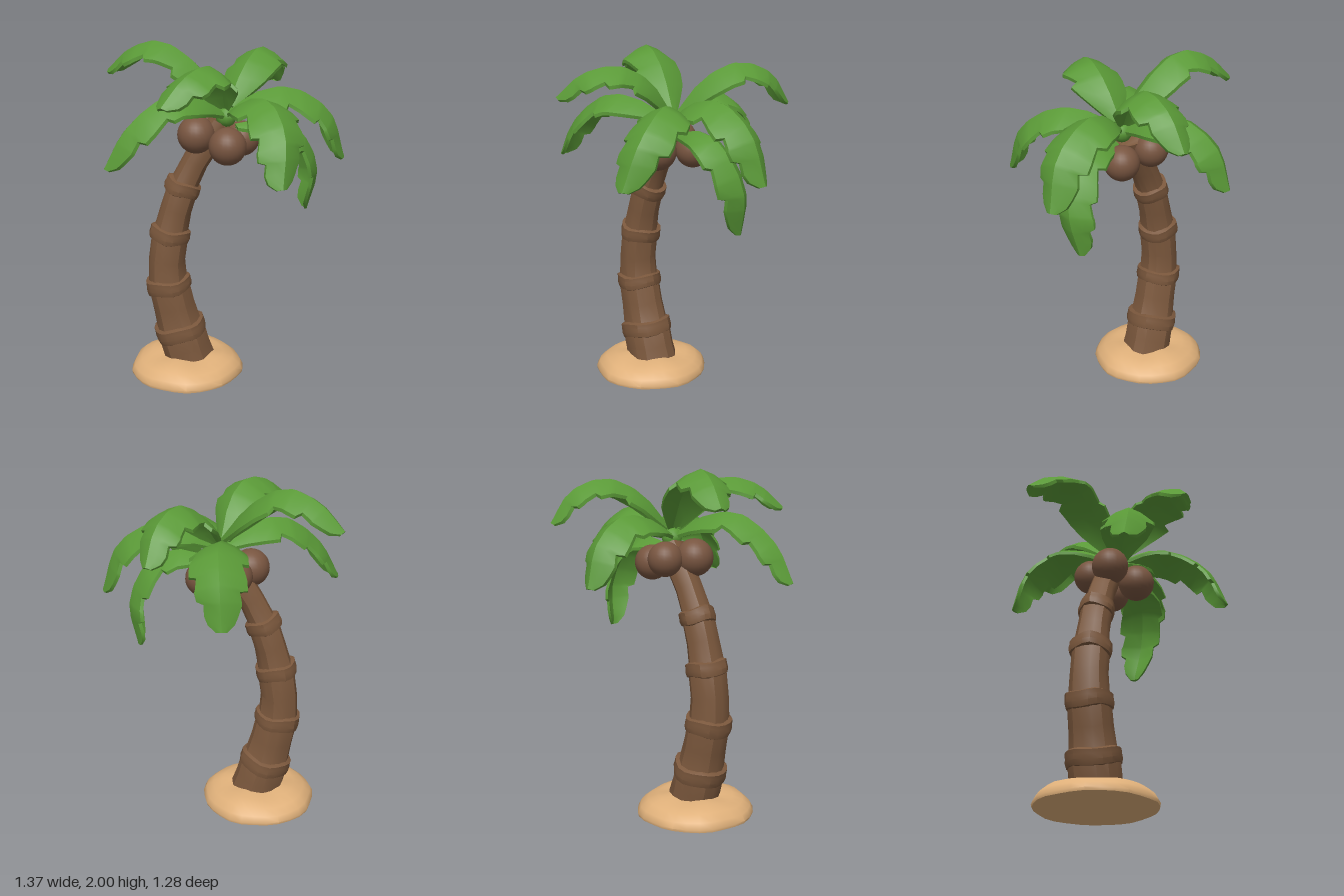
import * as THREE from 'three';
import { toCreasedNormals } from 'three/addons/utils/BufferGeometryUtils.js';

const mat = (name, color) => Object.assign(new THREE.MeshStandardMaterial({ color }), { name });
const V = (x, y, z) => new THREE.Vector3(x, y, z);

// Skin a list of closed cross-sections, with end caps
function loft(rings, crease) {
  const n = rings[0].length, pos = [], idx = [];
  rings.forEach(r => r.forEach(p => pos.push(p.x, p.y, p.z)));
  for (let i = 0; i < rings.length - 1; i++) {
    for (let j = 0; j < n; j++) {
      const k = (j + 1) % n, a = i * n + j, b = i * n + k, c = b + n, d = a + n;
      idx.push(a, b, d, b, c, d);
    }
  }
  const e = (rings.length - 1) * n;
  for (let j = 1; j < n - 1; j++) idx.push(0, j + 1, j, e, e + j, e + j + 1);
  const g = new THREE.BufferGeometry();
  g.setAttribute('position', new THREE.Float32BufferAttribute(pos, 3));
  g.setIndex(idx);
  return toCreasedNormals(g, crease);
}

// Trunk centre line, evenly spaced in height
const trunkLine = new THREE.CatmullRomCurve3([
  V(-0.22, 0.05, 0), V(-0.30, 0.35, 0), V(-0.355, 0.65, 0),
  V(-0.315, 0.95, 0), V(-0.215, 1.25, 0), V(-0.03, 1.55, 0)], false, 'catmullrom');

// Lumpy round section of the trunk; stations are [height, radius]
function trunkPart(stations, sides, lump, phase) {
  return loft(stations.map(([y, r]) => {
    const t = (y - 0.05) / 1.5, c = trunkLine.getPoint(t), d = trunkLine.getTangent(t);
    const ring = [];
    for (let j = 0; j < sides; j++) {
      const a = j / sides * Math.PI * 2;
      const q = r * (1 + lump * Math.sin(a * 5 + phase));
      const lift = lump * 0.25 * Math.sin(a * 3 + phase);
      ring.push(c.clone().add(V(d.y * Math.cos(a) * q, -d.x * Math.cos(a) * q + lift, -Math.sin(a) * q)));
    }
    return ring;
  }), 0.5);
}

// Frond outline: [distance along, half width left, half width right]
const OUTLINE = [
  [0, 0.04, 0.04], [0.1, 0.095, 0.1], [0.2, 0.14, 0.145], [0.32, 0.16, 0.168],
  [0.36, 0.162, 0.125], [0.46, 0.168, 0.15], [0.5, 0.13, 0.158], [0.6, 0.148, 0.162],
  [0.63, 0.152, 0.122], [0.72, 0.152, 0.132], [0.745, 0.108, 0.137], [0.82, 0.115, 0.128],
  [0.84, 0.116, 0.09], [0.91, 0.094, 0.09], [0.96, 0.072, 0.072], [1, 0.03, 0.03]];

// Arched, folded frond with notched edges
function frond(points, width, flip) {
  const curve = new THREE.CatmullRomCurve3(points.map(p => V(...p)));
  const dir = curve.getPoint(1).sub(curve.getPoint(0)).setY(0).normalize();
  const side = V(0, 1, 0).cross(dir);
  const rings = OUTLINE.map(([t, wl, wr]) => {
    const p = curve.getPointAt(t), tan = curve.getTangentAt(t);
    const nor = tan.clone().cross(side).normalize();
    const at = (u, drop) => {
      const w = (u > 0 === flip ? wl : wr) * width, a = Math.abs(u);
      return p.clone().addScaledVector(side, u * w)
        .addScaledVector(nor, -w * 0.55 * Math.pow(a, 1.45) - drop)
        .addScaledVector(tan, a * a * w * 0.2 * (1 - t));
    };
    const us = [1, 0.5, 0, -0.5, -1];
    return [...us.map(u => at(u, 0)), ...us.map(u => at(-u, t > 0.97 ? 0.012 : 0.02))];
  });
  return loft(rings, 0.6);
}

export function createModel() {
  const root = new THREE.Group();
  const leafGreen = mat('leaf green', 0x5a9937);
  const barkBrown = mat('bark brown', 0x7a573c);
  const nutBrown = mat('coconut brown', 0x785540);
  const sandTan = mat('sand', 0xdfb07a);
  const add = (geo, material, name, parent = root) => {
    const m = new THREE.Mesh(geo, material);
    m.name = name;
    parent.add(m);
    return m;
  };

  // Sand mound with an uneven surface
  const sand = new THREE.LatheGeometry(
    [[0, 0], [0.336, 0], [0.34, 0.016], [0.322, 0.05], [0.28, 0.085], [0.22, 0.106], [0.14, 0.113], [0, 0.113]]
      .map(p => new THREE.Vector2(...p)), 28);
  const sp = sand.attributes.position;
  for (let i = 0; i < sp.count; i++) {
    const x = sp.getX(i), y = sp.getY(i), z = sp.getZ(i), a = Math.atan2(z, x);
    const k = 1 + 0.012 * Math.sin(a * 5 + 1) + 0.01 * Math.sin(a * 9);
    sp.setXYZ(i, x * k, y * (1 + 0.06 * Math.sin(a * 4)), z * k);
  }
  add(toCreasedNormals(sand, 0.8), sandTan, 'sandMound').position.x = -0.24;

  // Trunk, each segment flaring a little under its ring
  const trunk = new THREE.Group();
  trunk.name = 'trunk';
  root.add(trunk);
  add(trunkPart([[0.05, 0.154], [0.15, 0.145], [0.27, 0.145], [0.31, 0.132], [0.42, 0.124], [0.56, 0.122],
    [0.6, 0.115], [0.72, 0.108], [0.88, 0.108], [0.92, 0.1], [1.03, 0.093], [1.16, 0.092],
    [1.2, 0.083], [1.32, 0.077], [1.44, 0.078], [1.55, 0.07]], 14, 0.025, 0.6), barkBrown, 'trunkCore', trunk);
  [[0.265, 0.156], [0.56, 0.136], [0.88, 0.122], [1.165, 0.106]].forEach(([y, r], i) => {
    const h = 0.048 - i * 0.002;
    add(trunkPart([[y - h, r - 0.025], [y - h * 0.8, r - 0.006], [y - h * 0.2, r], [y + h * 0.35, r - 0.003],
      [y + h * 0.8, r - 0.003], [y + h, r - 0.025]], 18, 0.025, i * 1.7), barkBrown, 'trunkRing', trunk);
  });

  // Coconuts clustered round the top of the trunk
  [[-0.17, 1.49, 0.05, 0.108], [-0.095, 1.485, -0.105, 0.1], [0.005, 1.445, 0.15, 0.107], [0.093, 1.445, -0.04, 0.102]]
    .forEach(([x, y, z, r]) => add(new THREE.SphereGeometry(r, 24, 16), nutBrown, 'coconut').position.set(x, y, z));

  // Crown of fronds: path from the heart to the tip, then width
  const crown = new THREE.Group();
  crown.name = 'crown';
  root.add(crown);
  add(new THREE.SphereGeometry(0.06, 12, 8), leafGreen, 'crownHeart', crown).position.set(0, 1.59, 0.03);
  [
    [[[-0.01, 1.62, 0.01], [-0.025, 1.71, -0.16], [-0.03, 1.735, -0.36], [-0.06, 1.6, -0.56], [-0.08, 1.37, -0.64]], 0.97],
    [[[0.01, 1.65, 0.02], [0.1, 1.84, -0.11], [0.2, 1.93, -0.29], [0.28, 1.86, -0.48], [0.315, 1.69, -0.595]], 0.9],
    [[[0.02, 1.63, 0.04], [0.17, 1.73, 0.03], [0.37, 1.75, 0.01], [0.59, 1.61, 0.01], [0.685, 1.34, -0.01]], 1],
    [[[0.05, 1.55, 0.04], [0.3, 1.58, 0.05], [0.45, 1.47, 0.03], [0.53, 1.26, -0.01], [0.48, 1.02, -0.04]], 0.82],
    [[[0.03, 1.63, 0.05], [0.13, 1.72, 0.17], [0.23, 1.73, 0.33], [0.295, 1.59, 0.53], [0.28, 1.34, 0.64]], 0.96],
    [[[0, 1.65, 0.04], [-0.035, 1.84, 0.17], [-0.11, 1.93, 0.33], [-0.23, 1.89, 0.49], [-0.345, 1.76, 0.59]], 0.95],
    [[[-0.01, 1.62, 0.05], [-0.16, 1.72, 0.14], [-0.34, 1.74, 0.23], [-0.55, 1.58, 0.31], [-0.67, 1.37, 0.33]], 0.93],
    [[[0, 1.66, 0.03], [-0.17, 1.88, -0.04], [-0.37, 1.995, -0.11], [-0.55, 1.94, -0.19], [-0.685, 1.81, -0.25]], 0.9],
  ].forEach(([path, width], i) => add(frond(path, width, i % 2 === 0), leafGreen, 'frond', crown));

  return root;
}
